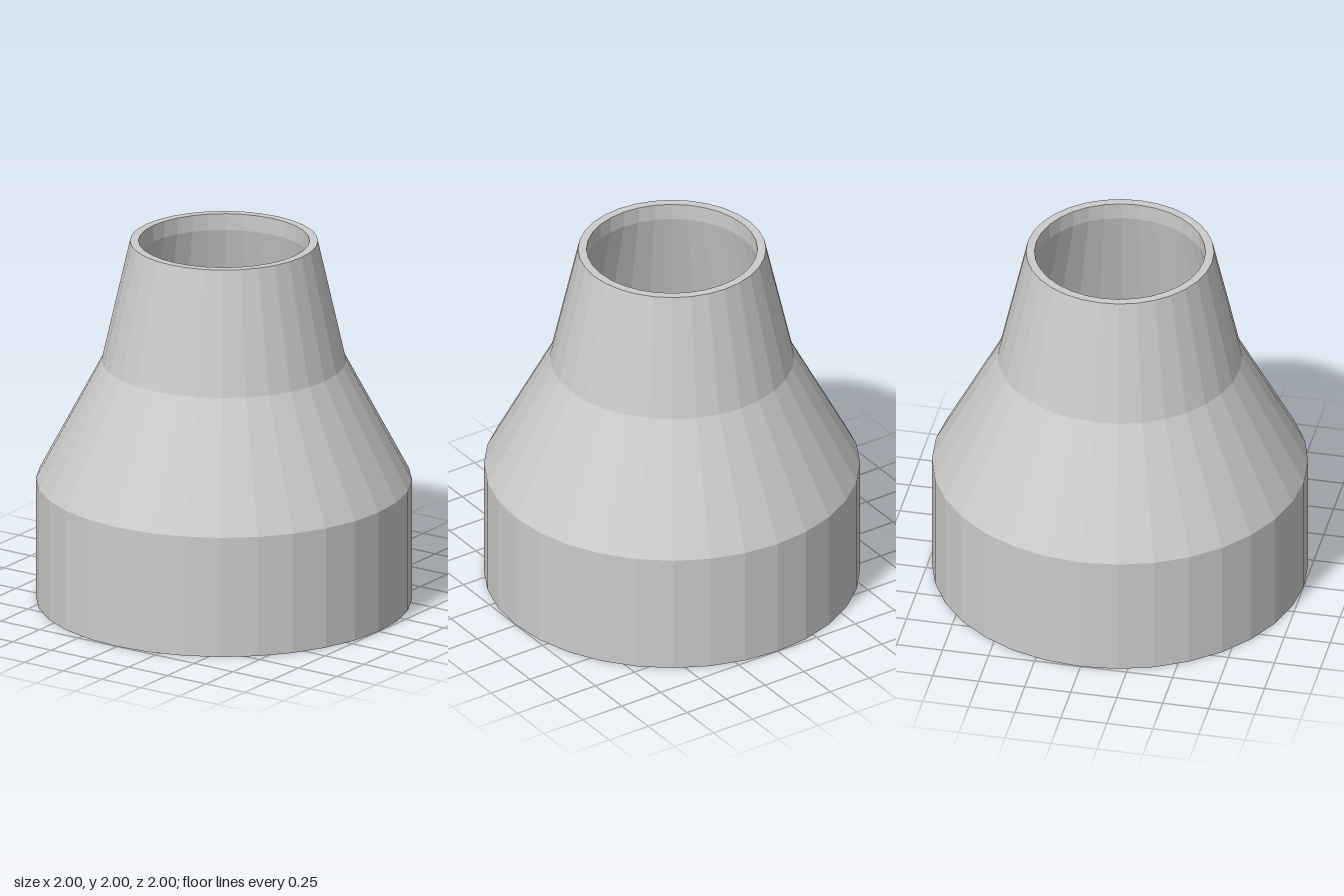
import * as THREE from 'three';

const SIDES = 32;
const WALL = 10 / 11; // inner size relative to outer

export function createModel() {
  const group = new THREE.Group();
  group.name = 'reducer';
  const material = new THREE.MeshStandardMaterial({ color: 0xcccccc, flatShading: true });

  // Revolves [radius, height] pairs; faces look right of the upward direction
  const addLathe = (name, profile) => {
    const points = profile.map(([r, y]) => new THREE.Vector2(r, y));
    const mesh = new THREE.Mesh(new THREE.LatheGeometry(points, SIDES), material);
    mesh.name = name;
    group.add(mesh);
  };

  // Outer wall: straight collar, wide shoulder, steep neck
  const outer = [[1, 0], [1, 2 / 3], [0.65, 4 / 3], [0.5, 2]];

  // Bore: the outer shape shrunk about its middle, run straight out at both ends
  const shrunk = outer.map(([r, y]) => [r * WALL, 1 + (y - 1) * WALL]);
  const bore = [[WALL, 0], ...shrunk.slice(1), [0.5 * WALL, 2]];

  addLathe('outerWall', outer);
  addLathe('bore', [...bore].reverse());
  addLathe('topRim', [[0.5, 2], [0.5 * WALL, 2]]);
  addLathe('bottomRim', [[WALL, 0], [1, 0]]);
  return group;
}
